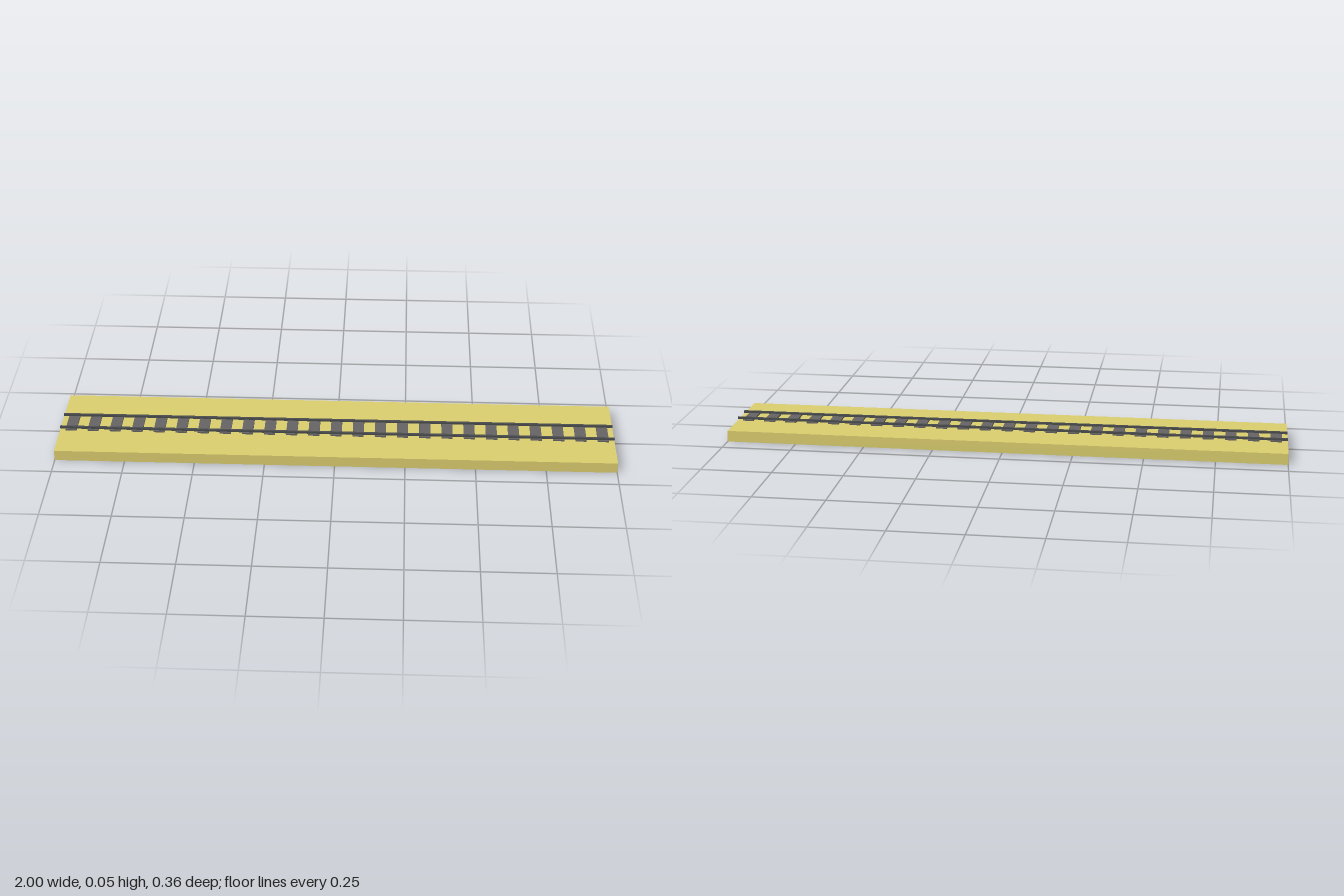
import * as THREE from 'three';

export function createModel() {
  const model = new THREE.Group();
  const sand = new THREE.MeshStandardMaterial({ color: 0xddd070 });
  const wood = new THREE.MeshStandardMaterial({ color: 0x666464 });
  const steel = new THREE.MeshStandardMaterial({ color: 0x4a4c4e });

  // Box resting on height y
  const addBox = (name, parent, material, [w, h, d], [x, y, z]) => {
    const mesh = new THREE.Mesh(new THREE.BoxGeometry(w, h, d), material);
    mesh.name = name;
    mesh.position.set(x, y + h / 2, z);
    parent.add(mesh);
  };

  // Ground slab
  addBox('groundSlab', model, sand, [2, 0.04, 0.36], [0, 0, 0]);

  // Evenly spaced sleepers across the track
  const sleepers = new THREE.Group();
  sleepers.name = 'sleepers';
  model.add(sleepers);
  const count = 25, spacing = 0.08;
  for (let i = 0; i < count; i++) {
    const x = (i - (count - 1) / 2) * spacing;
    addBox('sleeper', sleepers, wood, [0.04, 0.005, 0.1], [x, 0.04, 0]);
  }

  // Pair of rails running the full length on top of the sleepers
  for (const side of [-1, 1]) {
    addBox(side > 0 ? 'frontRail' : 'backRail', model, steel, [2, 0.008, 0.008], [0, 0.044, side * 0.04]);
  }

  return model;
}
